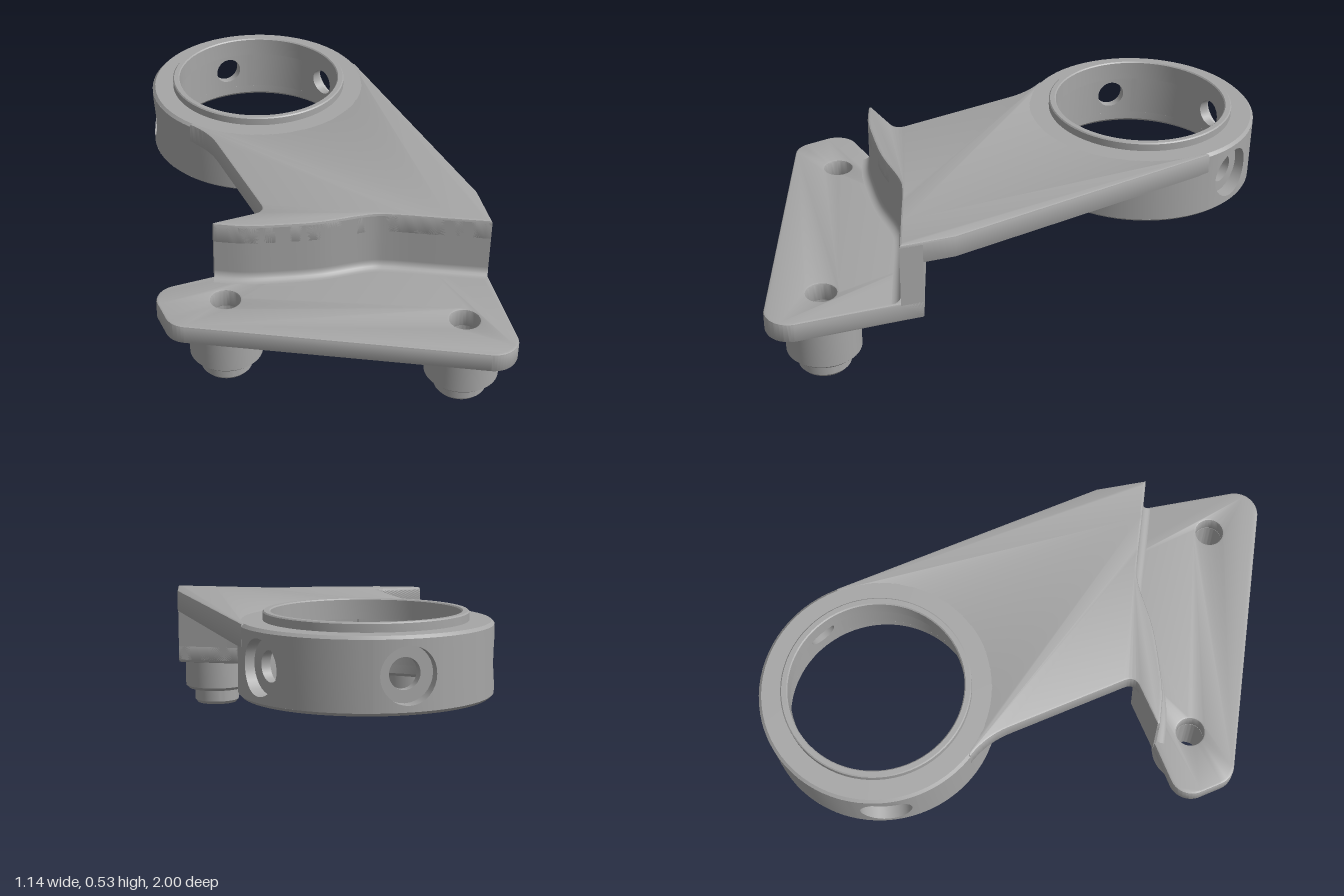
import * as THREE from 'three';
import { toCreasedNormals } from 'three/addons/utils/BufferGeometryUtils.js';
import { ParametricGeometry } from 'three/addons/geometries/ParametricGeometry.js';

const rad = THREE.MathUtils.degToRad;
const RING = { x: 0.16, z: -0.59, outer: 0.41, bore: 0.335 };
const HOLES = [108, 180, 252]; // radial screw holes, degrees from +z towards +x
const HOLE_Y = 0.38;
const NOTCH = 14; // half angle of the keyway
const v2 = (list) => list.map(([x, z]) => new THREE.Vector2(x, z));

export function createModel() {
  const metal = new THREE.MeshStandardMaterial({ color: 0xa6a6a6, side: THREE.DoubleSide });
  metal.name = 'grey metal';
  const model = new THREE.Group();
  model.name = 'bracket';

  const add = (parent, name, geometry) => {
    const mesh = new THREE.Mesh(geometry, metal);
    mesh.name = name;
    parent.add(mesh);
    return mesh;
  };
  // Plate from a plan outline (x, z) between two heights
  const plate = (shape, y0, y1, b) => {
    const g = new THREE.ExtrudeGeometry(shape, {
      depth: y1 - y0 - 2 * b, bevelEnabled: b > 0, bevelSize: b, bevelThickness: b,
      bevelOffset: -b, bevelSegments: 2, curveSegments: 24,
    });
    g.rotateX(Math.PI / 2).translate(0, y1 - b, 0);
    return toCreasedNormals(g, 0.5);
  };
  // Part of a turned profile, angles in degrees
  const turned = (points, from = 0, to = 360) => toCreasedNormals(
    new THREE.LatheGeometry(v2(points), Math.max(4, Math.ceil((to - from) / 5)), rad(from), rad(to - from)), 0.4);

  // Step between foot and arm, and the rear face of the wall
  const step = new THREE.SplineCurve(v2([[0.53, 0.6], [0.38, 0.515], [0.24, 0.435], [0.16, 0.405],
    [0, 0.385], [-0.15, 0.345], [-0.25, 0.31], [-0.34, 0.26]]));
  const rear = new THREE.SplineCurve(v2([[0.547, 0.525], [0.39, 0.435], [0.25, 0.355], [0.17, 0.33],
    [0.02, 0.315], [-0.08, 0.288], [-0.15, 0.25]]));
  const stepPts = step.getPoints(40);
  const rearPts = rear.getPoints(30);
  const posts = [[-0.35, 0.39], [0.34, 0.79]];

  // Foot plate with two through holes
  const foot = new THREE.Shape();
  foot.moveTo(-0.15, 0.25);
  foot.absarc(-0.49, 0.33, 0.08, rad(270), rad(180), true);
  foot.absarc(-0.49, 0.41, 0.08, rad(180), rad(120), true);
  foot.absarc(0.375, 0.915, 0.085, rad(120), rad(12), true);
  foot.lineTo(0.53, 0.6);
  rearPts.slice(0, -1).forEach((p) => foot.lineTo(p.x, p.y));
  for (const [x, z] of posts) {
    foot.holes.push(new THREE.Path().absarc(x, z, 0.05, 0, Math.PI * 2, false));
  }
  add(model, 'footPlate', plate(foot, 0.21, 0.28, 0.008));

  // Stepped hollow posts
  for (const [x, z] of posts) {
    add(model, 'post', turned([[0.05, 0.215], [0.05, 0.008], [0.058, 0], [0.078, 0], [0.088, 0.012],
      [0.088, 0.06], [0.113, 0.06], [0.125, 0.072], [0.125, 0.215]])).position.set(x, 0, z);
  }

  // Curved wall joining foot and arm
  const wall = new THREE.Shape([...stepPts, new THREE.Vector2(-0.34, 0.25), ...rearPts.slice().reverse()]);
  add(model, 'stepWall', plate(wall, 0.22, 0.49, 0));
  const fillet = new ParametricGeometry((u, v, out) => {
    const p = step.getPoint(u), t = step.getTangent(u), a = v * Math.PI / 2;
    const d = 0.03 * (1 - Math.sin(a));
    out.set(p.x + t.y * d, 0.28 + 0.03 * (1 - Math.cos(a)), p.y - t.x * d);
  }, 40, 6);
  add(model, 'stepFillet', fillet);

  // Flat arm, ending inside the body of the ring
  const arm = new THREE.Shape();
  arm.moveTo(0.57, -0.59);
  arm.lineTo(0.57, 0.42);
  stepPts.forEach((p) => arm.lineTo(p.x, p.y));
  arm.lineTo(-0.34, 0.25);
  arm.lineTo(-0.19, 0.25);
  arm.quadraticCurveTo(-0.15, 0.25, -0.15, 0.21);
  arm.lineTo(-0.15, -0.22);
  arm.quadraticCurveTo(-0.15, -0.31, -0.195, -0.385);
  arm.absarc(RING.x, RING.z, 0.39, rad(150), 0, true);
  add(model, 'arm', plate(arm, 0.42, 0.5, 0.008));

  // Clamp ring
  const ring = new THREE.Group();
  ring.name = 'ring';
  ring.position.set(RING.x, 0, RING.z);
  model.add(ring);
  add(ring, 'ringTopAndLip', turned([[0.41, 0.49], [0.4, 0.5], [0.33, 0.5], [0.33, 0.526], [0.326, 0.53],
    [0.309, 0.53], [0.305, 0.526], [0.305, 0.46], [RING.bore, 0.46]]));
  add(ring, 'ringBottom', turned([[0.41, 0.27], [0.4, 0.26], [0.375, 0.26]]));
  add(ring, 'ringBottomInner', turned([[0.375, 0.26], [0.343, 0.26], [RING.bore, 0.27], [RING.bore, 0.3]],
    NOTCH, 360 - NOTCH));

  // Keyway on the arm side of the bore
  add(ring, 'keyway', turned([[0.375, 0.26], [0.375, 0.46], [RING.bore, 0.46]], -NOTCH, NOTCH));
  for (const s of [-1, 1]) {
    const a = rad(s * NOTCH);
    const side = add(ring, 'keywaySide', new THREE.PlaneGeometry(0.04, 0.2));
    side.position.set(0.355 * Math.sin(a), 0.36, 0.355 * Math.cos(a));
    side.rotation.y = a - Math.PI / 2;
  }

  // Plain stretches of wall between the screw holes
  const outerHalf = THREE.MathUtils.radToDeg(Math.asin(0.11 / RING.outer));
  const innerHalf = THREE.MathUtils.radToDeg(Math.asin(0.08 / RING.bore));
  for (let i = 0; i < 3; i++) {
    const next = i < 2 ? HOLES[i + 1] : HOLES[0] + 360;
    add(ring, 'outerWall', turned([[RING.outer, 0.27], [RING.outer, 0.49]], HOLES[i] + outerHalf, next - outerHalf));
  }
  const edges = [NOTCH, ...HOLES.flatMap((h) => [h - innerHalf, h + innerHalf]), 360 - NOTCH];
  for (let i = 0; i < edges.length; i += 2) {
    add(ring, 'boreWall', turned([[RING.bore, 0.3], [RING.bore, 0.46]], edges[i], edges[i + 1]));
  }

  // Curved square of wall with a round opening
  const patch = (R, half, r) => new ParametricGeometry((u, v, out) => {
    const c = Math.cos(u * Math.PI * 2), s = Math.sin(u * Math.PI * 2);
    const k = THREE.MathUtils.lerp(r, half / Math.max(Math.abs(c), Math.abs(s)), v);
    out.set(c * k, s * k, Math.sqrt(R * R - c * c * k * k));
  }, 32, 4);
  // Round passage from a cylinder of radius R to a flat at depth d
  const passage = (R, r, d) => new ParametricGeometry((u, v, out) => {
    const x = r * Math.cos(u * Math.PI * 2), y = r * Math.sin(u * Math.PI * 2);
    out.set(x, y, THREE.MathUtils.lerp(Math.sqrt(R * R - x * x), d, v));
  }, 32, 1);

  // Counterbored screw holes
  for (const h of HOLES) {
    const hole = new THREE.Group();
    hole.name = 'screwHole';
    hole.position.y = HOLE_Y;
    hole.rotation.y = rad(h);
    ring.add(hole);
    add(hole, 'outerSurround', patch(RING.outer, 0.11, 0.09));
    add(hole, 'counterbore', passage(RING.outer, 0.09, 0.365));
    add(hole, 'counterboreFloor', new THREE.RingGeometry(0.05, 0.09, 32)).position.z = 0.365;
    add(hole, 'throughHole', passage(RING.bore, 0.05, 0.365));
    add(hole, 'innerSurround', patch(RING.bore, 0.08, 0.05));
  }
  return model;
}
